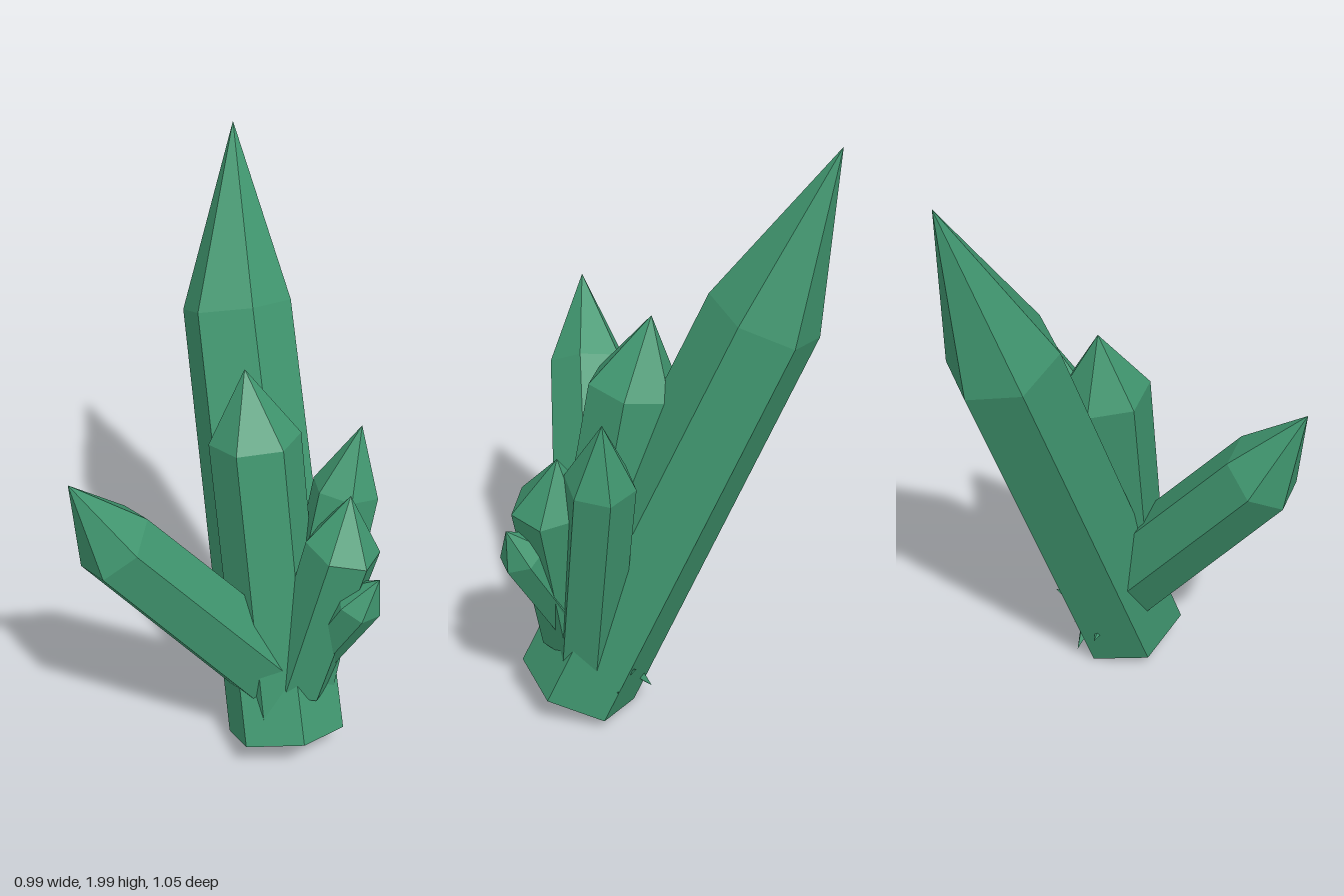
import * as THREE from 'three';

// Six-sided crystal: base ring, shoulder ring, off-axis pointed tip.
// `toward` is the direction of the first corner, flattened onto the ring plane.
function crystalGeometry({ base, shoulder, tip, toward, radius, flare = 1.1 }) {
  const [b, s, t, u] = [base, shoulder, tip, toward].map((p) => new THREE.Vector3(...p));
  const axis = s.clone().sub(b).normalize();
  u.addScaledVector(axis, -u.dot(axis)).normalize();
  const v = axis.clone().cross(u);
  const corner = (centre, r, i) => centre.clone()
    .addScaledVector(u, r * Math.cos((i * Math.PI) / 3))
    .addScaledVector(v, r * Math.sin((i * Math.PI) / 3));

  const points = [];
  for (let i = 0; i < 6; i++) {
    const b0 = corner(b, radius * flare, i), b1 = corner(b, radius * flare, i + 1);
    const s0 = corner(s, radius, i), s1 = corner(s, radius, i + 1);
    points.push(b0, b1, s1, b0, s1, s0); // side
    points.push(s0, s1, t);              // point
    points.push(b1, b0, b);              // underside
  }
  const geometry = new THREE.BufferGeometry().setFromPoints(points);
  geometry.computeVertexNormals();
  return geometry;
}

export function createModel() {
  const group = new THREE.Group();
  const green = new THREE.MeshStandardMaterial({ color: 0x40966f, flatShading: true });
  green.name = 'crystalGreen';

  const add = (name, geometry) => {
    const mesh = new THREE.Mesh(geometry, green);
    mesh.name = name;
    group.add(mesh);
    return mesh;
  };

  const crystals = {
    mainCrystal: {
      base: [0.225, 0.085, -0.17], shoulder: [-0.32, 1.445, -0.35], tip: [-0.495, 2, -0.46],
      toward: [0.16, 0.075, 0.055], radius: 0.183,
    },
    uprightCrystal: {
      base: [0.2, 0.2, -0.165], shoulder: [0.03, 1.17, -0.165], tip: [-0.025, 1.4, -0.162],
      toward: [1, 0, 0], radius: 0.15, flare: 1,
    },
    frontCrystal: {
      base: [0.145, 0.33, -0.15], shoulder: [0.02, 0.98, 0.375], tip: [0, 1.24, 0.52],
      toward: [0.125, 0.03, 0.01], radius: 0.135,
    },
    backCrystal: {
      base: [0.215, 0.25, -0.24], shoulder: [0.212, 0.985, -0.4], tip: [0.22, 1.21, -0.45],
      toward: [0, 0, -1], radius: 0.113, flare: 1,
    },
    sideCrystal: {
      base: [0.24, 0.3, -0.2], shoulder: [0.34, 0.87, -0.29], tip: [0.325, 1.045, -0.325],
      toward: [1, 0, 0], radius: 0.125, flare: 0.9,
    },
    smallCrystal: {
      base: [0.255, 0.38, -0.245], shoulder: [0.432, 0.705, -0.29], tip: [0.49, 0.815, -0.32],
      toward: [0, 0, 1], radius: 0.08, flare: 0.9,
    },
  };
  for (const [name, spec] of Object.entries(crystals)) add(name, crystalGeometry(spec));

  // Tiny splinters around the foot: start and end points
  const splinters = [
    [[0.05, 0.16, -0.2], [-0.04, 0.17, -0.19]],
    [[0.04, 0.17, -0.24], [-0.02, 0.22, -0.27]],
    [[0.05, 0.14, -0.26], [0.0, 0.08, -0.27]],
    [[0.12, 0.2, -0.34], [0.09, 0.25, -0.385]],
    [[0.15, 0.13, -0.34], [0.15, 0.17, -0.385]],
  ];
  const up = new THREE.Vector3(0, 1, 0);
  for (const [from, to] of splinters) {
    const a = new THREE.Vector3(...from), z = new THREE.Vector3(...to);
    const cone = add('splinter', new THREE.ConeGeometry(0.022, a.distanceTo(z), 4));
    cone.position.copy(a).lerp(z, 0.5);
    cone.quaternion.setFromUnitVectors(up, z.sub(a).normalize());
  }
  return group;
}
